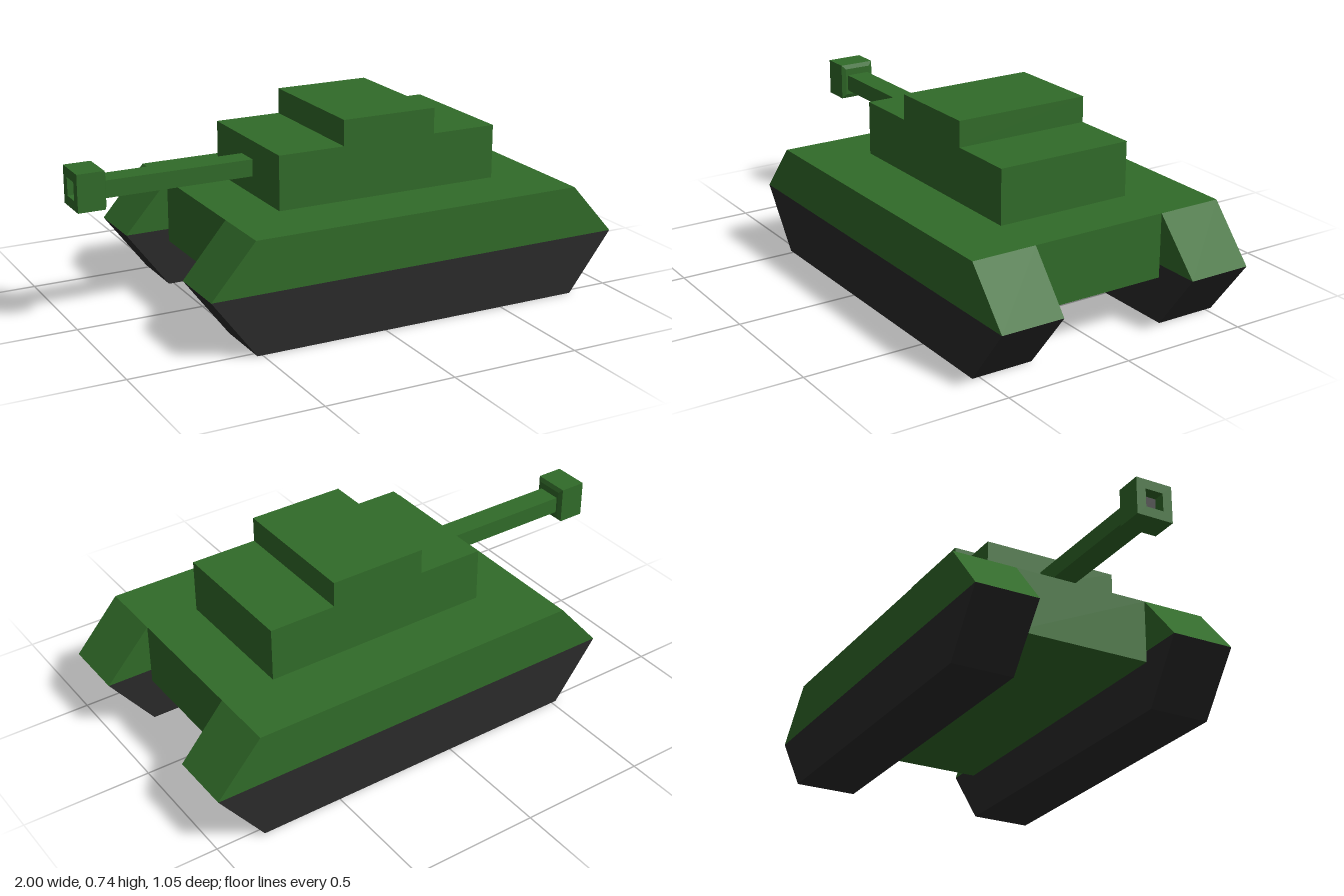
import * as THREE from 'three';

const green = new THREE.MeshStandardMaterial({ color: 0x316b29, flatShading: true });
const black = new THREE.MeshStandardMaterial({ color: 0x2a2a2a, flatShading: true });

export function createModel() {
  const model = new THREE.Group();

  function add(name, geometry, material) {
    const mesh = new THREE.Mesh(geometry, material);
    mesh.name = name;
    model.add(mesh);
    return mesh;
  }

  // Box given by its extents on each axis
  function addBox(name, x0, x1, y0, y1, z0, z1) {
    const geometry = new THREE.BoxGeometry(x1 - x0, y1 - y0, z1 - z0);
    add(name, geometry, green).position.set((x0 + x1) / 2, (y0 + y1) / 2, (z0 + z1) / 2);
  }

  // Side profile extruded across one track, inner wall leaning outwards towards the ground
  function addTrackPart(name, points, side, material) {
    const shape = new THREE.Shape(points.map(([x, y]) => new THREE.Vector2(x, y)));
    const geometry = new THREE.ExtrudeGeometry(shape, { depth: 0.255, bevelEnabled: false });
    geometry.translate(0, 0, side > 0 ? 0.272 : -0.527);
    const p = geometry.attributes.position;
    for (let i = 0; i < p.count; i++) {
      if (Math.abs(p.getZ(i)) < 0.4) p.setZ(i, side * (0.272 + (0.43 - p.getY(i)) * 0.026));
    }
    geometry.computeVertexNormals();
    add(name, geometry, material);
  }

  function square(half, Type = THREE.Shape) {
    return new Type([[-1, -1], [1, -1], [1, 1], [-1, 1]].map(([a, b]) => new THREE.Vector2(a * half, b * half)));
  }

  // Hull, turret and gun barrel
  addBox('hull', -0.52, 0.82, 0.183, 0.43, -0.272, 0.272);
  addBox('turret', -0.305, 0.61, 0.43, 0.64, -0.272, 0.272);
  addBox('turretTop', -0.04, 0.345, 0.64, 0.74, -0.272, 0.272);
  addBox('barrel', -0.9, -0.305, 0.502, 0.568, -0.047, 0.047);

  // Tracks with sloped fenders above
  for (const [label, side] of [['front', 1], ['back', -1]]) {
    addTrackPart(label + 'Fender', [[-0.693, 0.23], [0.997, 0.23], [0.82, 0.43], [-0.52, 0.43]], side, green);
    addTrackPart(label + 'Track', [[-0.52, 0], [0.82, 0], [0.997, 0.23], [-0.693, 0.23]], side, black);
  }

  // Muzzle brake with a square bore
  const muzzleShape = square(0.072);
  muzzleShape.holes.push(square(0.035, THREE.Path));
  const muzzle = add('muzzle', new THREE.ExtrudeGeometry(muzzleShape, { depth: 0.105, bevelEnabled: false }), green);
  muzzle.rotation.y = Math.PI / 2;
  muzzle.position.set(-1, 0.54, 0);

  const bore = add('bore', new THREE.BoxGeometry(0.05, 0.07, 0.07), black);
  bore.position.set(-0.93, 0.54, 0);

  // Short taper behind the muzzle
  const collar = add('muzzleCollar', new THREE.CylinderGeometry(0.072 * Math.SQRT2, 0.055 * Math.SQRT2, 0.008, 4), green);
  collar.geometry.rotateY(Math.PI / 4).rotateZ(Math.PI / 2);
  collar.position.set(-0.891, 0.54, 0);

  return model;
}
